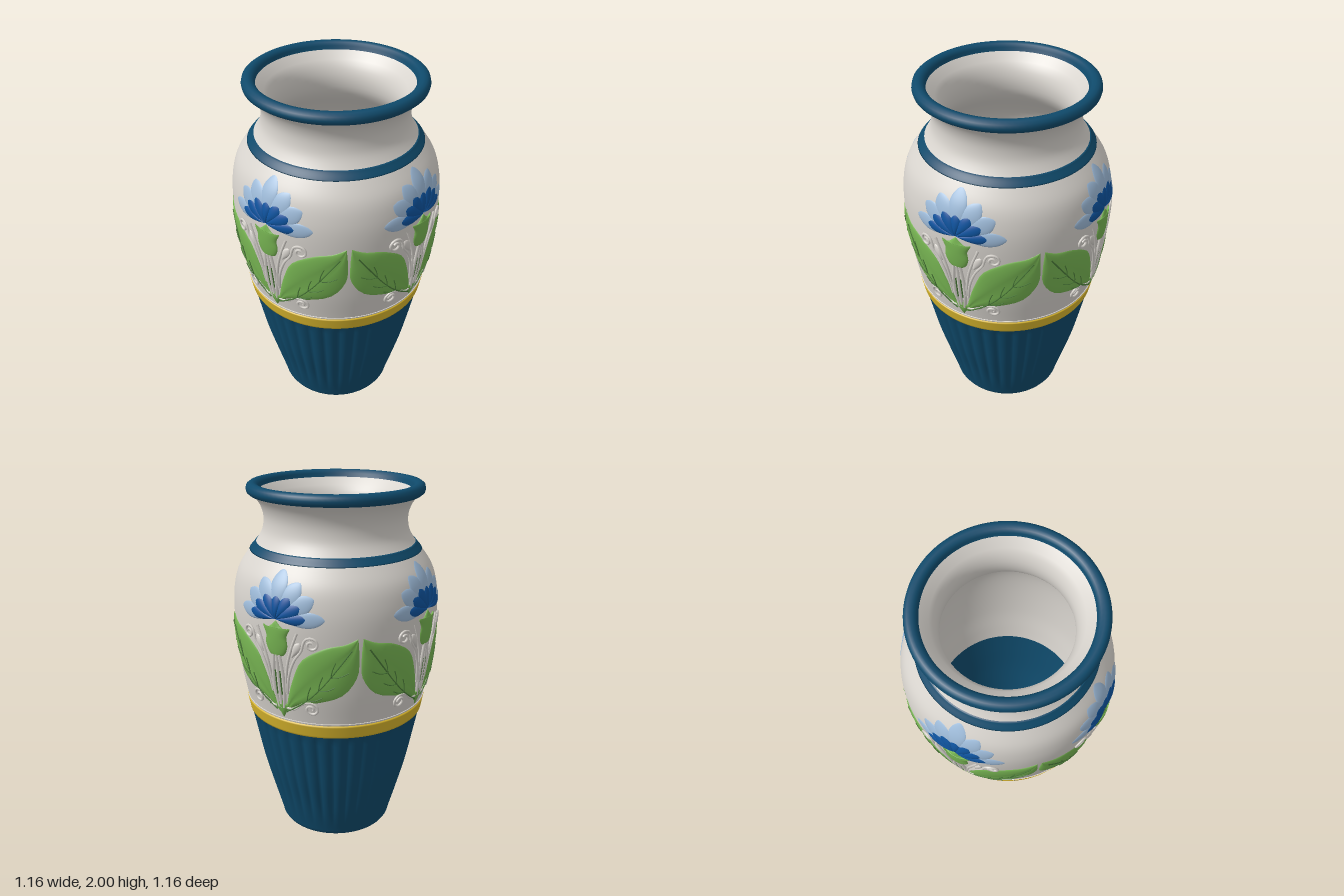
import * as THREE from 'three';
import { mergeVertices } from 'three/addons/utils/BufferGeometryUtils.js';

const V2 = (x, y) => new THREE.Vector2(x, y);
const mat = (name, color) => {
  const m = new THREE.MeshStandardMaterial({ color });
  m.name = name;
  return m;
};

// Outer silhouette: [radius, height], sampled into a radius-at-height function
const profile = new THREE.SplineCurve([
  [0.322, 0], [0.328, 0.04], [0.372, 0.2], [0.424, 0.4], [0.465, 0.6], [0.492, 0.74], [0.51, 0.84],
  [0.537, 1.0], [0.556, 1.2], [0.561, 1.36], [0.55, 1.47], [0.522, 1.56], [0.465, 1.645],
  [0.428, 1.69], [0.396, 1.745], [0.385, 1.8], [0.389, 1.85], [0.409, 1.9], [0.445, 1.945],
].map(([r, y]) => V2(r, y))).getPoints(500);

function radiusAt(y) {
  let i = 1;
  while (i < profile.length - 1 && profile[i].y < y) i++;
  const a = profile[i - 1], b = profile[i];
  return a.x + (b.x - a.x) * THREE.MathUtils.clamp((y - a.y) / (b.y - a.y), 0, 1);
}

// Profile points from height y0 to y1, moved outward by off
function span(y0, y1, off = 0, n = 30) {
  return Array.from({ length: n + 1 }, (_, i) => {
    const y = y0 + (y1 - y0) * i / n;
    return V2(radiusAt(y) + off, y);
  });
}

// Point on the vase surface for a motif position (x, y)
function onVase(x, y, off) {
  const r = radiusAt(y), a = Math.asin(THREE.MathUtils.clamp(x / r, -1, 1));
  return new THREE.Vector3(Math.sin(a) * (r + off), y, Math.cos(a) * (r + off));
}

// Raised relief between two outline curves, wrapped on the vase
function relief(edgeA, edgeB, height, groove = 0, nu = 28, nv = 14) {
  const a = edgeA(0.5), b = edgeB(0.5), d = edgeA(0.6).add(edgeB(0.6)).sub(edgeA(0.4)).sub(edgeB(0.4));
  if (d.x * (b.y - a.y) - d.y * (b.x - a.x) < 0) [edgeA, edgeB] = [edgeB, edgeA];
  const pos = [], index = [];
  for (let i = 0; i <= nu; i++) {
    const u = 0.5 - 0.5 * Math.cos(Math.PI * i / nu), p = edgeA(u), q = edgeB(u);
    for (let j = 0; j <= nv; j++) {
      const v = 0.5 - 0.5 * Math.cos(Math.PI * j / nv);
      const dome = Math.pow(Math.max(0, Math.sin(Math.PI * u) * Math.sin(Math.PI * v)), 0.4);
      const h = -0.003 + height * dome * (1 - groove * Math.exp(-(((v - 0.5) / 0.1) ** 2)));
      const s = p.clone().lerp(q, v);
      pos.push(...onVase(s.x, s.y, h).toArray());
      if (i < nu && j < nv) {
        const k = i * (nv + 1) + j, l = k + nv + 1;
        index.push(k, l, k + 1, l, l + 1, k + 1);
      }
    }
  }
  const g = new THREE.BufferGeometry();
  g.setAttribute('position', new THREE.Float32BufferAttribute(pos, 3));
  g.setIndex(index);
  g.computeVertexNormals();
  return g;
}

const outline = (pts, s = 1) => {
  const c = new THREE.SplineCurve(pts.map(([x, y]) => V2(x * s, y)));
  return (u) => c.getPoint(u);
};

// Rounded petal fanning from (cx, cy) at an angle in degrees
function petal(cx, cy, deg, length, width, height) {
  const t = THREE.MathUtils.degToRad(deg), dir = V2(Math.cos(t), Math.sin(t)), side = V2(-dir.y, dir.x);
  const edge = (s) => (u) => V2(cx, cy).addScaledVector(dir, length * u)
    .addScaledVector(side, s * width * Math.pow(Math.max(0, Math.sin(Math.PI * Math.pow(u, 1.7))), 0.65));
  return relief(edge(1), edge(-1), height, 0, 20, 10);
}

// Thin cord following the vase surface
function cord(pts, radius, off = 0.004) {
  const curve = new THREE.CatmullRomCurve3(pts.map(([x, y]) => onVase(x, y, off)));
  return new THREE.TubeGeometry(curve, pts.length * 5, radius, 6);
}

// Points of an inward spiral
function spiral(cx, cy, r, start, turns, s) {
  return Array.from({ length: 13 }, (_, i) => {
    const a = start + turns * Math.PI * 2 * i / 12, k = r * (1 - 0.75 * i / 12);
    return [s * (cx + Math.cos(a) * k), cy + Math.sin(a) * k];
  });
}

export function createModel() {
  const white = mat('glazeWhite', 0xd8d4ce), navy = mat('deepBlue', 0x0f4a6b), yellow = mat('yellow', 0xdab72d);
  const green = mat('leafGreen', 0x78b653), darkGreen = mat('veinGreen', 0x4a7a38);
  const paleBlue = mat('paleBlue', 0x9dbad8), petalBlue = mat('petalBlue', 0x0e539e);

  const vase = new THREE.Group();
  vase.name = 'vase';
  const add = (parent, name, geometry, material) => {
    const m = new THREE.Mesh(geometry, material);
    m.name = name;
    parent.add(m);
  };
  const lathe = (name, pts, material, seg = 96) => add(vase, name, new THREE.LatheGeometry(pts, seg), material);

  // Fluted base: grooves fade out at the foot and just under the yellow band
  const flutes = 36;
  let base = new THREE.LatheGeometry(
    [V2(0, 0), V2(0.28, 0), V2(0.302, 0.002), V2(0.316, 0.009), V2(0.324, 0.022), ...span(0.035, 0.745)], flutes * 8);
  const p = base.attributes.position;
  for (let i = 0; i < p.count; i++) {
    const x = p.getX(i), y = p.getY(i), z = p.getZ(i), r = Math.hypot(x, z);
    if (r < 0.01) continue;
    const fade = THREE.MathUtils.smoothstep(y, 0.03, 0.3) * (1 - THREE.MathUtils.smoothstep(y, 0.7, 0.74));
    const k = 1 - 0.011 * fade * (1 - Math.abs(Math.sin(Math.atan2(x, z) * flutes / 2))) / r;
    p.setXYZ(i, x * k, y, z * k);
  }
  base.deleteAttribute('uv');
  base.deleteAttribute('normal');
  base = mergeVertices(base, 1e-5);
  base.computeVertexNormals();
  add(vase, 'flutedBase', base, navy);

  // Body, neck and coloured bands
  const band = (y0, y1, off) => [V2(radiusAt(y0) - 0.01, y0), ...span(y0 + 0.003, y1 - 0.003, off, 8), V2(radiusAt(y1) - 0.01, y1)];
  lathe('yellowBand', band(0.735, 0.815, 0.006), yellow);
  lathe('bandBead', band(0.814, 0.828, 0.004), white);
  lathe('body', span(0.8, 1.945, 0, 80), white);
  lathe('shoulderBand', band(1.648, 1.692, 0.004), navy);

  // Rolled rim
  lathe('rim', [[0.43, 1.938], [0.455, 1.94], [0.468, 1.951], [0.472, 1.968], [0.467, 1.987], [0.452, 1.998],
    [0.435, 2], [0.418, 1.995], [0.406, 1.98], [0.403, 1.955], [0.39, 1.94]].map(([r, y]) => V2(r, y)), navy);

  // Hollow inside: white above, blue below
  lathe('innerNeck', [V2(0.403, 1.96), ...span(1.92, 0.74, -0.062, 50)], white);
  lathe('innerBase', [...span(0.74, 0.12, -0.062), V2(0.27, 0.08), V2(0.23, 0.06), V2(0, 0.06)], navy);

  // One flower motif, repeated on four sides
  const motif = new THREE.Group();
  motif.name = 'flowerMotif';

  for (const [deg, len, w] of [[90, 0.235, 0.05], [58, 0.215, 0.05], [30, 0.225, 0.05], [3, 0.255, 0.042]])
    for (const a of deg === 90 ? [90] : [deg, 180 - deg])
      add(motif, 'outerPetal', petal(0, 1.4, a, len, w, 0.011), paleBlue);
  for (const [deg, len, w] of [[90, 0.13, 0.028], [58, 0.15, 0.033], [30, 0.165, 0.035], [6, 0.18, 0.03]])
    for (const a of deg === 90 ? [90] : [deg, 180 - deg])
      add(motif, 'innerPetal', petal(0, 1.395, a, len, w, 0.017), petalBlue);

  // Calyx cup with side points
  const cup = [[0, 1.195], [0.045, 1.21], [0.066, 1.26], [0.062, 1.31], [0.082, 1.355], [0.045, 1.35], [0, 1.39]];
  add(motif, 'calyx', relief(outline(cup), outline(cup, -1), 0.02), green);

  // Stem strands and green foot
  for (const x of [-0.028, 0, 0.028])
    add(motif, 'stemStrand', cord([[x * 0.5, 0.9], [x, 1.0], [x, 1.1], [x * 0.6, 1.21]], 0.01), white);
  for (const x of [-0.014, 0.014])
    add(motif, 'stemLine', cord([[x, 0.98], [x, 1.05], [x, 1.12]], 0.004, 0.007), darkGreen);
  const foot = [[0, 0.835], [0.02, 0.87], [0.045, 0.91], [0.02, 0.93], [0, 0.97]];
  add(motif, 'stemFoot', relief(outline(foot), outline(foot, -1), 0.016), green);

  for (const s of [1, -1]) {
    // Broad leaf with midrib and side veins
    const upper = [[0.015, 0.86], [0.045, 0.97], [0.085, 1.09], [0.14, 1.2], [0.25, 1.27], [0.335, 1.29], [0.388, 1.318]];
    const lower = [[0.015, 0.86], [0.09, 0.925], [0.2, 0.955], [0.315, 1.0], [0.378, 1.1], [0.39, 1.21], [0.388, 1.318]];
    add(motif, 'leaf', relief(outline(upper, s), outline(lower, s), 0.016, 0.3), green);
    const rib = (t) => [s * (0.03 + 0.35 * t), 0.88 + 0.41 * t - 0.06 * Math.sin(Math.PI * t)];
    add(motif, 'leafMidrib', cord([0, 0.2, 0.4, 0.6, 0.8, 0.95].map(rib), 0.004, 0.009), darkGreen);
    for (const t of [0.35, 0.52, 0.69]) {
      const [x, y] = rib(t);
      add(motif, 'leafVein', cord([[x, y], [x + s * 0.01, y + 0.045], [x + s * 0.025, y + 0.085]], 0.0028, 0.0125), darkGreen);
      add(motif, 'leafVein', cord([[x, y], [x + s * 0.04, y + 0.005], [x + s * 0.075, y + 0.025]], 0.0028, 0.0125), darkGreen);
    }
    // Curling tendrils and a small bud beside the calyx
    add(motif, 'upperTendril', cord([[s * 0.045, 0.99], [s * 0.065, 1.1], [s * 0.1, 1.19], [s * 0.14, 1.25],
      ...spiral(0.19, 1.285, 0.04, Math.PI, -1.4, s)], 0.007), white);
    add(motif, 'lowerTendril', cord([[s * 0.03, 0.9], [s * 0.08, 0.905], [s * 0.12, 0.94],
      ...spiral(0.165, 0.915, 0.04, Math.PI * 0.6, -1.4, s)], 0.007), white);
    add(motif, 'sideSprig', cord([[s * 0.035, 1.0], [s * 0.06, 1.16], [s * 0.09, 1.26], [s * 0.12, 1.34]], 0.007), white);
    add(motif, 'bud', petal(s * 0.085, 1.2, 90 - s * 28, 0.1, 0.022, 0.014), white);
  }

  for (let i = 0; i < 4; i++) {
    const m = motif.clone();
    m.rotation.y = i * Math.PI / 2;
    vase.add(m);
  }
  return vase;
}
